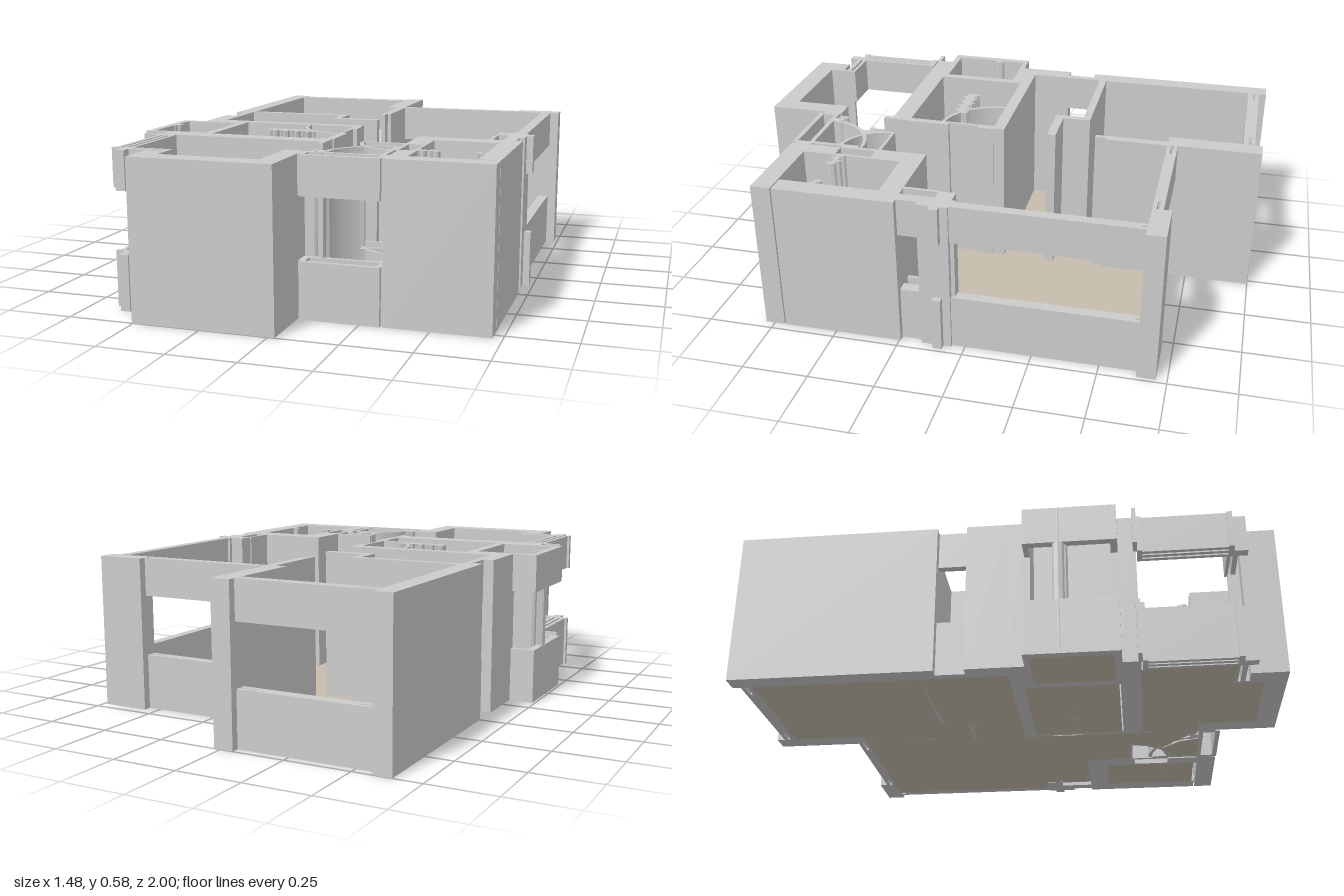
import * as THREE from 'three';

const H = 0.585, SILL = 0.21, HEAD = 0.44;
const FULL = [[0, H]], OPEN = [[0, SILL], [HEAD, H]]; // solid wall, or sill and lintel

export function createModel() {
  const model = new THREE.Group();
  const wallMat = new THREE.MeshStandardMaterial({ color: 0xcccccc, flatShading: true });
  const floorMat = new THREE.MeshStandardMaterial({ color: 0xc6bcad, flatShading: true });

  const add = (geo, name, mat = wallMat) => {
    const m = new THREE.Mesh(geo, mat);
    m.name = name;
    model.add(m);
  };

  // Straight wall over a plan rectangle
  const wall = (name, x0, x1, z0, z1, bands = FULL) => {
    for (const [y0, y1] of bands) {
      const g = new THREE.BoxGeometry(x1 - x0, y1 - y0, z1 - z0);
      g.translate((x0 + x1) / 2, (y0 + y1) / 2, (z0 + z1) / 2);
      add(g, name);
    }
  };

  // Plan outline raised between two heights
  const raise = (name, shape, y0, y1, mat) => {
    const g = new THREE.ExtrudeGeometry(shape, { depth: y1 - y0, bevelEnabled: false, curveSegments: 12 });
    g.rotateX(Math.PI / 2).translate(0, y1, 0);
    add(g, name, mat);
  };

  // Quarter-circle wall of a door swing
  const arcWall = (name, cx, cz, r, a0, a1, bands = FULL) => {
    for (const [y0, y1] of bands) {
      const s = new THREE.Shape();
      s.absarc(cx, cz, r + 0.007, a0, a1, false);
      s.absarc(cx, cz, r - 0.007, a1, a0, true);
      raise(name, s, y0, y1);
    }
  };

  // Wavy rib: a row of small posts joined by a thin web
  const ribs = (name, x0, x1, z, n, r) => {
    for (let i = 0; i < n; i++) {
      const g = new THREE.CylinderGeometry(r, r, H, 8);
      g.scale(0.6, 1, 1.2).translate(x0 + (x1 - x0) * (n > 1 ? i / (n - 1) : 0), H / 2, z + (i % 2 ? 0.006 : -0.006));
      add(g, name);
    }
    wall(name, x0, x1, z - 0.006, z + 0.006);
  };

  // Floors
  const floors = [
    [[-.575, -.925], [-.05, -.925], [-.05, -.64], [.66, -.64], [.66, .05], [.59, .05], [.59, .245], [.32, .245],
      [.32, .425], [.16, .425], [.175, .49], [.22, .55], [.135, .61], [.08, .66], [.04, .7], [-.05, .7], [-.05, .92],
      [-.425, .92], [-.425, .82], [-.575, .82], [-.575, .48], [.025, .48], [.025, .01], [-.575, .01]],
    [[.115, .7], [.135, .635], [.215, .555], [.305, .58], [.305, .705], [.115, .705]],
    [[-.46, .055], [.005, .055], [.005, .4], [-.46, .4]],
    [[-.71, .095], [-.49, .095], [-.49, .39], [-.71, .39]],
    [[.4, .325], [.64, .325], [.64, .695], [.4, .695]],
  ];
  for (const pts of floors) raise('floor', new THREE.Shape(pts.map(p => new THREE.Vector2(...p))), 0, 0.004, floorMat);

  // Back left room
  wall('leftWall', -.645, -.575, -1, -.25);
  wall('leftWallSlot', -.605, -.575, -.25, -.14, OPEN);
  wall('leftWall', -.645, -.575, -.14, .01);
  wall('backWindow', -.575, -.05, -.97, -.955, OPEN);
  wall('backWindow', -.51, -.12, -.955, -.945, OPEN);
  wall('backWindow', -.575, -.05, -.945, -.925, OPEN);
  wall('backPier', -.05, .025, -1, -.64);
  wall('dividerWall', -.005, .03, -.64, -.4);
  wall('dividerWall', -.005, .015, -.4, -.355);

  // Back right window and corner pier
  wall('backWindowRight', .025, .55, -.68, -.665, OPEN);
  wall('backWindowRight', .1, .49, -.665, -.655, OPEN);
  wall('backWindowRight', .025, .55, -.655, -.64, OPEN);
  wall('cornerPier', .55, .735, -.71, -.64);

  // Long window and stepped pier on the left-hand side
  wall('sideWindow', .66, .675, -.64, .05, OPEN);
  wall('sideWindow', .675, .685, -.62, .04, OPEN);
  wall('sideWindow', .685, .7, -.64, .05, OPEN);
  wall('sidePier', .595, .71, .05, .115);
  wall('sidePier', .65, .69, .035, .05);
  wall('sidePierLedge', .71, .735, .08, .115, OPEN);
  wall('sidePier', .645, .71, .115, .165);
  wall('sideSlot', .645, .69, .165, .245, OPEN);
  wall('sideSlot', .59, .603, .115, .245, OPEN);

  // Front right room
  wall('shaftBack', .32, .715, .245, .325);
  wall('shaftOuter', .64, .715, .325, .705);
  wall('shaftFront', .335, .715, .71, .785);
  wall('shaftInner', .32, .4, .325, .445);
  wall('shaftInner', .32, .335, .445, .585);
  wall('shaftInner', .388, .4, .445, .585);
  wall('shaftInner', .335, .4, .585, .71);
  ribs('shaftRib', .4, .47, .565, 4, .016);
  ribs('shaftRib', .615, .635, .57, 2, .013);

  // Entrance niche with door swings and front window
  wall('nicheBack', .155, .32, .425, .437, OPEN);
  wall('nicheSide', .305, .322, .52, .72, OPEN);
  arcWall('doorSwing', .31, .725, .215, Math.PI, 4.07);
  arcWall('doorSwing', .31, .725, .215, 4.07, Math.PI * 1.5, OPEN);
  arcWall('smallDoorSwing', .32, .434, .16, 2.63, Math.PI);
  arcWall('smallDoorSwing', .32, .434, .16, Math.PI / 2, 2.63, OPEN);
  ribs('nicheRib', .06, .105, .68, 3, .018);
  wall('frontWindow', .025, .335, .705, .722, OPEN);
  wall('frontWindow', .04, .325, .77, .788, OPEN);
  wall('frontWindow', .025, .05, .722, .77, OPEN);
  wall('frontWindow', .31, .335, .722, .77, OPEN);

  // Front left room
  wall('frontWall', -.505, .025, .92, 1);
  wall('frontPier', -.05, .025, .7, .92);
  wall('frontReturn', -.44, -.425, .82, .92);
  wall('frontReturn', -.505, -.44, .865, .92);
  wall('frontLeftWindow', -.575, -.425, .81, .823, OPEN);
  wall('frontLeftWindow', -.575, -.44, .832, .85, OPEN);
  for (const x of [-.64, -.615, -.59]) wall('leftWindow', x, x + .016, .485, .83, OPEN);
  for (const z of [.485, .815]) wall('leftWindowEnd', -.65, -.575, z, z + .02, OPEN);
  wall('leftWindowEnd', -.612, -.575, .835, .885, OPEN);
  wall('leftWindowStub', -.71, -.645, .47, .485, OPEN);
  wall('middleWall', -.645, .03, .405, .48);
  wall('middleWallEnd', .01, .03, .48, .515);

  // Bathroom
  wall('bathCorner', -.645, -.575, .01, .08);
  wall('bathBack', -.575, .03, .01, .055);
  wall('bathCorner', -.575, -.46, .055, .08);
  wall('bathLeft', -.495, -.46, .08, .405);
  wall('bathRight', .005, .035, .055, .12);
  wall('bathRight', .005, .018, .12, .24);
  wall('bathRight', .005, .035, .24, .405);
  arcWall('bathDoorSwing', .03, .055, .215, Math.PI / 2, Math.PI);
  ribs('bathRib', -.285, -.105, .225, 9, .022);

  // Projecting bay
  wall('bayOuter', -.74, -.71, .075, .415, OPEN);
  wall('bayBack', -.71, -.645, .075, .095, OPEN);
  wall('bayBack', -.645, -.495, .08, .095);
  wall('bayFront', -.71, -.645, .39, .415, OPEN);
  wall('bayFront', -.645, -.495, .39, .405);
  ribs('bayRib', -.73, -.695, .21, 3, .018);

  // Stepped partition
  wall('partition', -.575, -.135, -.31, -.28);
  wall('partition', -.165, -.135, -.28, -.165);
  wall('partition', -.135, .035, -.2, -.165);
  return model;
}
